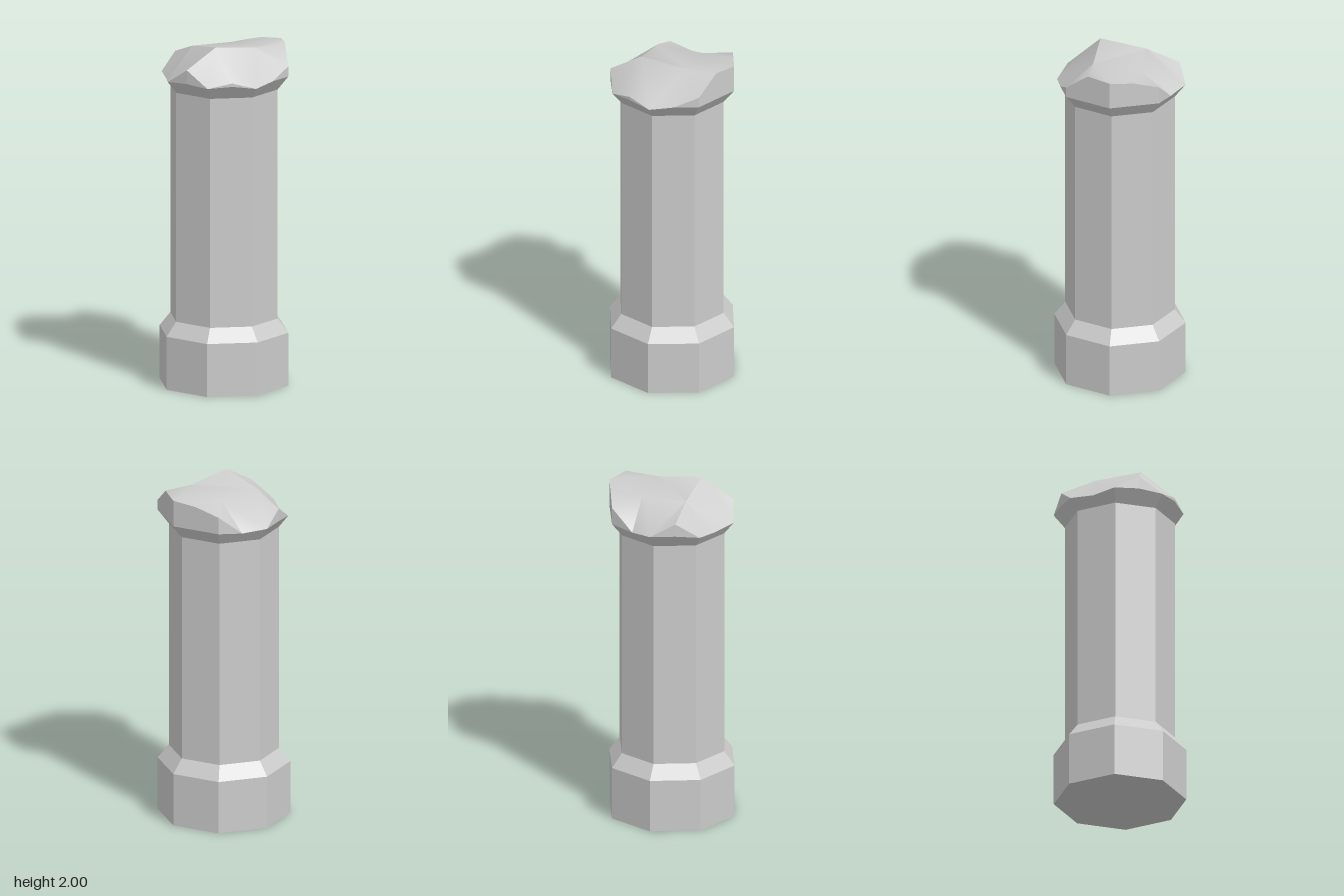
import * as THREE from 'three';
import { toCreasedNormals } from 'three/addons/utils/BufferGeometryUtils.js';

const R = 0.378, SHAFT_R = 0.315;    // corner radii of the octagon
const FLARE_Y = 1.73, RIM_Y = 1.81;  // start and end of the upper flare

// Broken rim heights: corners and edge midpoints, from the front round by the left
const rimHeights = [
  1.79, 1.81, 1.87, 1.975, 1.965, 1.95, 1.91, 1.795,
  1.81, 1.885, 1.795, 1.785, 1.8, 1.89, 1.8, 1.83,
];
// Heights of the four inner points of the broken surface
const innerHeights = [1.967, 1.945, 1.955, 2.0];

// Point on the octagonal outside of the capital at step k of 16
function wallPoint(k, y) {
  const t = THREE.MathUtils.clamp((y - FLARE_Y) / (RIM_Y - FLARE_Y), 0, 1);
  const r = THREE.MathUtils.lerp(SHAFT_R, R, t) * (k % 2 ? Math.cos(Math.PI / 8) : 1);
  const a = (k * Math.PI) / 8;
  return new THREE.Vector3(r * Math.sin(a), y, r * Math.cos(a));
}

function fromTriangles(points) {
  const geometry = new THREE.BufferGeometry().setFromPoints(points);
  geometry.computeVertexNormals();
  return geometry;
}

export function createModel() {
  const group = new THREE.Group();
  const flat = new THREE.MeshStandardMaterial({ color: 0xcccccc, flatShading: true });
  const smooth = new THREE.MeshStandardMaterial({ color: 0xcccccc });
  const add = (name, geometry, material) => {
    const mesh = new THREE.Mesh(geometry, material);
    mesh.name = name;
    group.add(mesh);
  };
  const lathe = (pairs) => {
    const profile = pairs.map(([r, y]) => new THREE.Vector2(r, y));
    const geometry = new THREE.LatheGeometry(profile, 8).toNonIndexed();
    geometry.computeVertexNormals();
    return geometry;
  };

  // Plinth with closed underside and sloped shoulder, then the shaft
  add('base', lathe([[0, 0], [R, 0], [R, 0.31], [SHAFT_R, 0.39]]), flat);
  add('shaft', lathe([[SHAFT_R, 0.39], [SHAFT_R, FLARE_Y]]), flat);

  // Capital wall: flare, then upright side up to the broken rim
  const rim = rimHeights.map((y, k) => wallPoint(k, y));
  const low = rimHeights.map((_, k) => wallPoint(k, FLARE_Y));
  const mid = rimHeights.map((y, k) => wallPoint(k, Math.min(y, RIM_Y)));
  const wall = [];
  const quad = (a, b, c, d) => {
    for (const tri of [[a, b, c], [a, c, d]]) {
      const [p, q, r] = tri;
      if (!p.equals(q) && !q.equals(r) && !r.equals(p)) wall.push(...tri);
    }
  };
  for (let i = 0; i < 16; i++) {
    const j = (i + 1) % 16;
    quad(low[i], low[j], mid[j], mid[i]);
    quad(mid[i], mid[j], rim[j], rim[i]);
  }
  add('capital', fromTriangles(wall), flat);

  // Broken top: each inner point fans to its quarter of the rim
  const s = 0.133;
  const inner = innerHeights.map((y, q) =>
    new THREE.Vector3(q < 2 ? s : -s, y, q === 0 || q === 3 ? s : -s));
  const top = [];
  for (let q = 0; q < 4; q++) {
    for (let i = 4 * q; i < 4 * q + 4; i++) top.push(inner[q], rim[i], rim[(i + 1) % 16]);
    top.push(inner[(q + 3) % 4], rim[4 * q], inner[q]);
  }
  top.push(inner[0], inner[1], inner[2], inner[0], inner[2], inner[3]);
  add('brokenTop', toCreasedNormals(fromTriangles(top), 0.75), smooth);

  return group;
}
